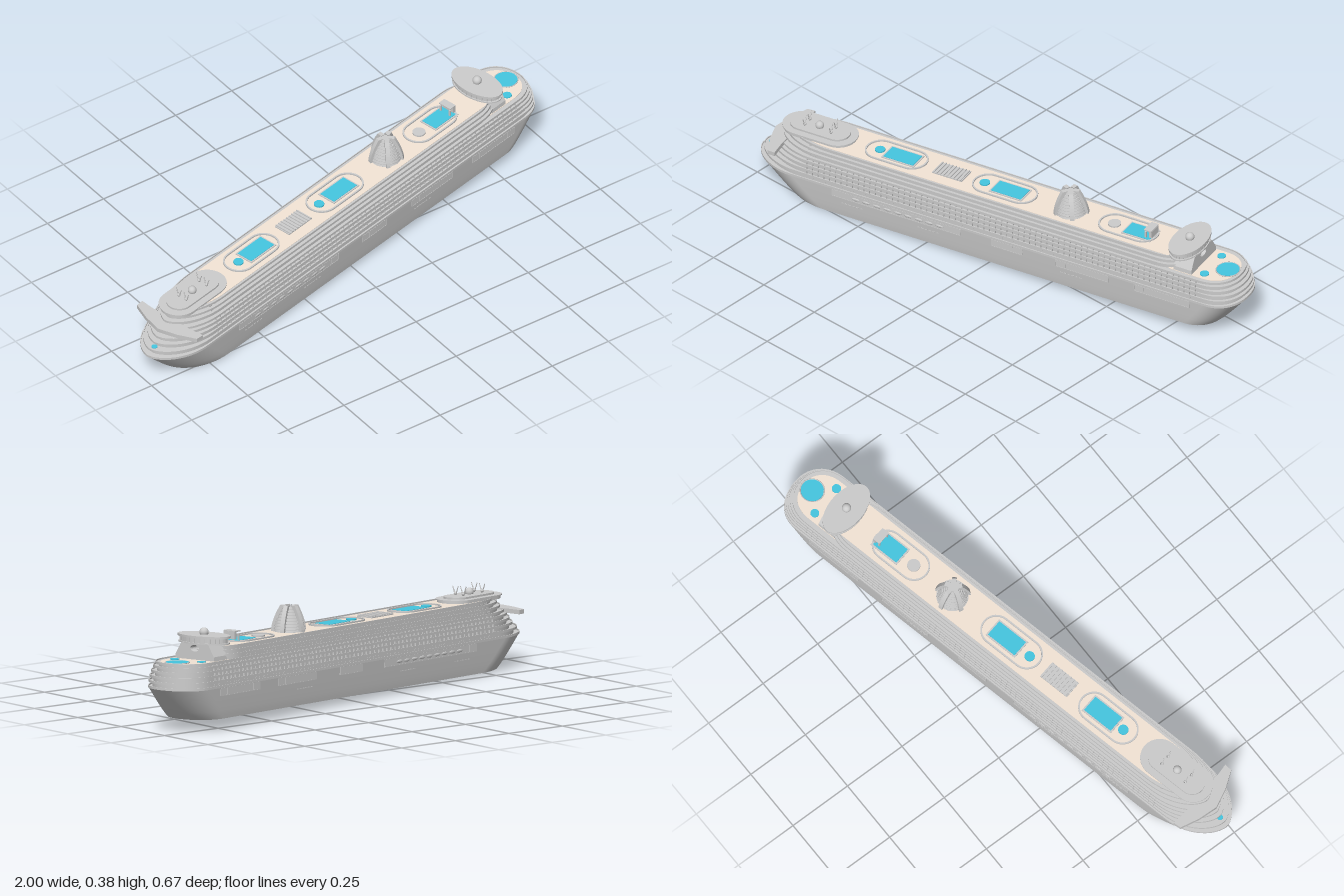
import * as THREE from 'three';
import { mergeGeometries, toCreasedNormals } from 'three/addons/utils/BufferGeometryUtils.js';

const grey = new THREE.MeshStandardMaterial({ color: 0xcccccc, side: THREE.DoubleSide });
const sand = new THREE.MeshStandardMaterial({ color: 0xf3e4d5 });
const water = new THREE.MeshStandardMaterial({ color: 0x45c6e0 });

// Ship frame: x runs from bow (-) to stern (+), y up, z across.
// Plan outline: pointed-round bow, straight sides, round stern.
function outline(hw, bow, stern, bowLen = 0.19, sternLen = 0.12) {
  const half = [], n = 14;
  for (let i = 0; i <= n; i++) {
    const a = (i / n) * Math.PI / 2;
    half.push([bow + bowLen * (1 - Math.cos(a)), hw * Math.pow(Math.sin(a), 1.2)]);
  }
  for (let i = 0; i <= n; i++) {
    const a = (i / n) * Math.PI / 2;
    half.push([stern - sternLen * (1 - Math.pow(Math.sin(a), 0.9)), hw * Math.pow(Math.cos(a), 0.9)]);
  }
  const mirrored = half.slice(1, -1).reverse().map(([x, z]) => [x, -z]);
  return half.concat(mirrored).map(([x, z]) => new THREE.Vector2(x, z));
}
const racetrack = (cx, len, wid) => {
  const r = wid / 2, d = len / 2 - r, pts = [];
  for (let i = 0; i < 34; i++) {
    const right = i < 17, a = -Math.PI / 2 + ((right ? i : i - 1) / 16) * Math.PI;
    pts.push(new THREE.Vector2(cx + (right ? d : -d) + r * Math.cos(a), r * Math.sin(a)));
  }
  return pts;
};
// Upright prism over a plan outline, optionally with a hole
function prism(pts, h0, h1, hole) {
  const shape = new THREE.Shape(pts);
  if (hole) shape.holes.push(new THREE.Path(hole));
  const g = new THREE.ExtrudeGeometry(shape, { depth: h1 - h0, bevelEnabled: false });
  return toCreasedNormals(g.rotateX(-Math.PI / 2).translate(0, h0, 0), 0.6);
}
const box = (l, h, w, x, y, z) => new THREE.BoxGeometry(l, h, w).toNonIndexed().translate(x, y, z);
const drum = (r0, r1, h, x, y, z, n = 24) =>
  new THREE.CylinderGeometry(r0, r1, h, n).toNonIndexed().translate(x, y, z);
const ball = (r, x, y, z) => new THREE.SphereGeometry(r, 18, 12).toNonIndexed().translate(x, y, z);

// Hull skin lofted between the flat bottom and the flared rim
const keel = () => outline(0.114, -0.9, 0.915, 0.19, 0.11);
function hullGeometry() {
  const levels = 8, pos = [], idx = [], low = keel(), rim = outline(0.127, -1.022, 1.02), n = low.length;
  for (let l = 0; l <= levels; l++) {
    const t = l / levels;
    low.forEach((p, i) => {
      const x = THREE.MathUtils.lerp(p.x, rim[i].x, Math.pow(t, 0.9));
      pos.push(x, 0.12 * t, THREE.MathUtils.lerp(p.y, rim[i].y, Math.pow(t, 0.8)));
    });
  }
  for (let l = 0; l < levels; l++) for (let i = 0; i < n; i++) {
    const a = l * n + i, b = l * n + (i + 1) % n;
    idx.push(a, b, a + n, b, b + n, a + n);
  }
  const g = new THREE.BufferGeometry();
  g.setAttribute('position', new THREE.Float32BufferAttribute(pos, 3));
  g.setIndex(idx);
  g.computeVertexNormals();
  return g;
}

export function createModel() {
  const root = new THREE.Group(), ship = new THREE.Group();
  ship.name = 'ship';
  root.add(ship);
  const add = (name, geos, mat = grey) => {
    const list = [].concat(geos);
    const m = new THREE.Mesh(list.length > 1 ? mergeGeometries(list) : list[0], mat);
    m.name = name;
    ship.add(m);
  };

  add('hull', hullGeometry());
  add('hullBottom', prism(keel(), 0, 0.001));

  // Deck tiers: floor height, half width, bow end, stern end
  const tiers = [
    [0.118, 0.127, -1.022, 1.02], [0.138, 0.125, -1.008, 1.018], [0.157, 0.122, -0.985, 1.015],
    [0.175, 0.120, -0.97, 1.008], [0.192, 0.117, -0.955, 1.0], [0.205, 0.112, -0.943, 0.992],
    [0.222, 0.105, -0.925, 0.81], [0.236, 0.098, -0.91, 0.805], [0.25, 0.09, -0.895, 0.8],
  ];
  const slabs = [], walls = [], rails = [], dividers = [], windows = [];
  tiers.forEach(([h, w, b, s], i) => {
    slabs.push(prism(outline(w, b, s), h - 0.002, h + 0.002));
    rails.push(prism(outline(w, b, s), h + 0.002, h + 0.007, outline(w - 0.0025, b + 0.003, s - 0.003)));
    const up = tiers[i + 1];
    if (!up) return;
    const ww = up[1] - 0.008;
    walls.push(prism(outline(ww, up[2] + 0.014, up[3] - 0.014), h, up[0]));
    for (const z of [-1, 1]) for (let x = -0.77; x < (i > 4 ? 0.68 : 0.87); x += 0.024) {
      // Balcony dividers on the middle decks, windows on the others
      if (i > 0 && i < 5) dividers.push(box(0.0025, up[0] - h, 0.007, x, (h + up[0]) / 2, z * (ww + 0.003)));
      else windows.push(box(0.012, 0.005, 0.002, x, (h + up[0]) / 2 + 0.002, z * ww));
    }
  });
  add('deckSlabs', slabs);
  add('deckWalls', walls);
  add('deckRails', rails);
  add('balconyDividers', dividers);
  add('deckWindows', windows);

  // Hull side panels, lifeboats and portholes
  const panels = [], boats = [], ports = [];
  for (const z of [-1, 1]) {
    for (const [x0, x1] of [[-0.66, -0.12], [0.01, 0.14], [0.28, 0.5], [0.61, 0.84]]) {
      const c = (x0 + x1) / 2, l = x1 - x0;
      for (const y of [0.087, 0.114]) panels.push(box(l, 0.002, 0.003, c, y, z * 0.126));
      for (const x of [x0, x1, x0 + 0.04, x1 - 0.04]) panels.push(box(0.002, 0.027, 0.003, x, 0.1005, z * 0.126));
      panels.push(box(l, 0.027, 0.002, c, 0.1005, z * 0.1255));
    }
    for (let i = 0; i < 9; i++) {
      boats.push(new THREE.SphereGeometry(1, 12, 8).toNonIndexed().scale(0.018, 0.006, 0.003)
        .translate(-0.56 + i * 0.044, 0.099, z * 0.126));
    }
    for (const x0 of [-0.62, -0.3, 0.3]) for (let i = 0; i < 6; i++) {
      ports.push(box(0.01, 0.003, 0.002, x0 + i * 0.016, 0.062, z * 0.1222));
    }
  }
  add('sidePanels', panels);
  add('lifeboats', boats);
  add('portholes', ports);

  // Sun deck, stern terrace and foredeck floors
  add('sunDeck', prism(outline(0.078, -0.86, 0.79, 0.16, 0.06), 0.252, 0.2535), sand);
  add('sternTerrace', prism(outline(0.092, 0.7, 0.975, 0.05, 0.1), 0.207, 0.2085), sand);

  // Bridge with swept wings
  add('bridgeWings', prism([[-0.965, 0], [-0.945, 0.075], [-0.915, 0.145], [-0.885, 0.147], [-0.89, 0.09],
    [-0.89, -0.09], [-0.885, -0.147], [-0.915, -0.145], [-0.945, -0.075]]
    .map(([x, z]) => new THREE.Vector2(x, z)), 0.198, 0.214));
  add('foredeckPool', drum(0.011, 0.011, 0.002, -0.984, 0.1415, 0), water);

  // Forward lounge with domes and masts
  add('forwardLounge', [prism(racetrack(-0.775, 0.29, 0.135), 0.25, 0.264),
    prism(racetrack(-0.775, 0.3, 0.145), 0.262, 0.266), prism(racetrack(-0.775, 0.24, 0.095), 0.266, 0.273)]);
  const masts = [ball(0.016, -0.778, 0.28, 0)];
  for (const x of [-0.83, -0.72]) for (const z of [-0.018, 0.018]) {
    for (const lean of [-0.35, 0.35]) {
      masts.push(drum(0.0015, 0.0025, 0.038, 0, 0.019, 0, 8).rotateX(lean).translate(x, 0.272, z));
    }
    masts.push(ball(0.006, x, 0.28, z));
  }
  add('domesAndMasts', masts);

  // Pool areas: raised racetrack rims, pools and whirlpools
  const rims = [], pools = [];
  for (const [c, l, px, pl, tub] of [[-0.455, 0.25, -0.43, 0.125, -0.525], [0, 0.26, 0.022, 0.125, -0.085],
    [0.52, 0.24, 0.57, 0.11, null]]) {
    rims.push(prism(racetrack(c, l, 0.118), 0.2535, 0.259, racetrack(c, l - 0.012, 0.106)));
    rims.push(box(pl + 0.012, 0.003, 0.078, px, 0.255, 0));
    pools.push(box(pl, 0.003, 0.066, px, 0.2565, 0));
    if (tub) pools.push(drum(0.019, 0.019, 0.005, tub, 0.256, 0));
  }
  rims.push(drum(0.024, 0.024, 0.006, 0.46, 0.256, 0));
  add('poolRims', rims);
  for (const [r, x, z] of [[0.042, 0.935, 0], [0.016, 0.872, -0.062], [0.017, 0.872, 0.062]]) {
    pools.push(drum(r, r, 0.004, x, 0.2095, z));
  }
  add('pools', pools, water);
  add('sternPoolRim', new THREE.TorusGeometry(0.044, 0.002, 8, 32).rotateX(Math.PI / 2).translate(0.935, 0.21, 0));

  // Slatted skylight and screen
  const slats = [box(0.125, 0.004, 0.07, -0.225, 0.255, 0)];
  for (let i = 0; i < 9; i++) slats.push(box(0.004, 0.004, 0.07, -0.281 + i * 0.014, 0.259, 0));
  add('skylight', slats);
  add('screen', [box(0.012, 0.028, 0.05, 0.625, 0.276, 0), box(0.03, 0.004, 0.055, 0.615, 0.291, 0),
    box(0.006, 0.03, 0.006, 0.604, 0.267, 0.022), box(0.006, 0.03, 0.006, 0.604, 0.267, -0.022)]);

  // Stepped funnel with curved ribs
  const fx = 0.278, funnel = [], ribs = [];
  const radius = (t) => 0.062 - 0.034 * Math.pow(t, 1.7);
  for (let i = 0; i < 9; i++) {
    const t = i / 8;
    funnel.push(drum(radius(t) - 0.007, radius(t) - 0.004, 0.009, fx, 0.256 + t * 0.083, 0, 28));
    funnel.push(drum(radius(t) - 0.003, radius(t) - 0.003, 0.002, fx, 0.253 + t * 0.083, 0, 28));
  }
  for (let k = 0; k < 5; k++) {
    const outer = [], inner = [];
    for (let i = 0; i <= 8; i++) {
      outer.push(new THREE.Vector2(radius(i / 8) + 0.005, 0.25 + i * 0.0122));
      inner.unshift(new THREE.Vector2(radius(i / 8) - 0.016, 0.25 + i * 0.0122));
    }
    ribs.push(new THREE.ExtrudeGeometry(new THREE.Shape(outer.concat(inner)), { depth: 0.016, bevelEnabled: false })
      .translate(0, 0, -0.008).rotateY(k * Math.PI * 0.4 + 0.26).translate(fx, 0, 0));
  }
  add('funnel', funnel);
  add('funnelRibs', ribs);

  // Aft observation lounge: tapered tower, oval platform and dome
  const ax = 0.778;
  const tower = new THREE.Shape([[-0.09, 0.205], [0.09, 0.205], [0.088, 0.224], [0.062, 0.268],
    [-0.062, 0.268], [-0.088, 0.224]].map(([a, b]) => new THREE.Vector2(a, b)));
  const archway = new THREE.Path();
  archway.absellipse(0, 0.25, 0.02, 0.012, 0, Math.PI * 2);
  tower.holes.push(archway);
  add('loungeTower', new THREE.ExtrudeGeometry(tower, { depth: 0.075, bevelEnabled: false })
    .rotateY(Math.PI / 2).translate(ax - 0.02, 0, 0));
  const oval = (k, h, y) => drum(k, k, h, 0, 0, 0, 40).scale(0.063, 1, 0.112).translate(ax, y, 0);
  add('loungePlatform', [oval(0.97, 0.005, 0.268), oval(0.9, 0.02, 0.279), oval(1, 0.008, 0.292)]);
  const mullions = [];
  for (let i = 0; i < 28; i++) {
    const a = i / 28 * Math.PI * 2;
    mullions.push(box(0.002, 0.02, 0.002, ax + 0.058 * Math.cos(a), 0.279, 0.102 * Math.sin(a)));
  }
  add('loungeMullions', mullions);
  add('loungeDome', [ball(0.017, ax, 0.304, 0), drum(0.012, 0.014, 0.008, ax, 0.297, 0)]);

  // Heading, trim and heel
  ship.rotation.set(0.021, 0.224, 0.024, 'YXZ');
  ship.position.set(0, 0.023, -0.008);
  return root;
}
